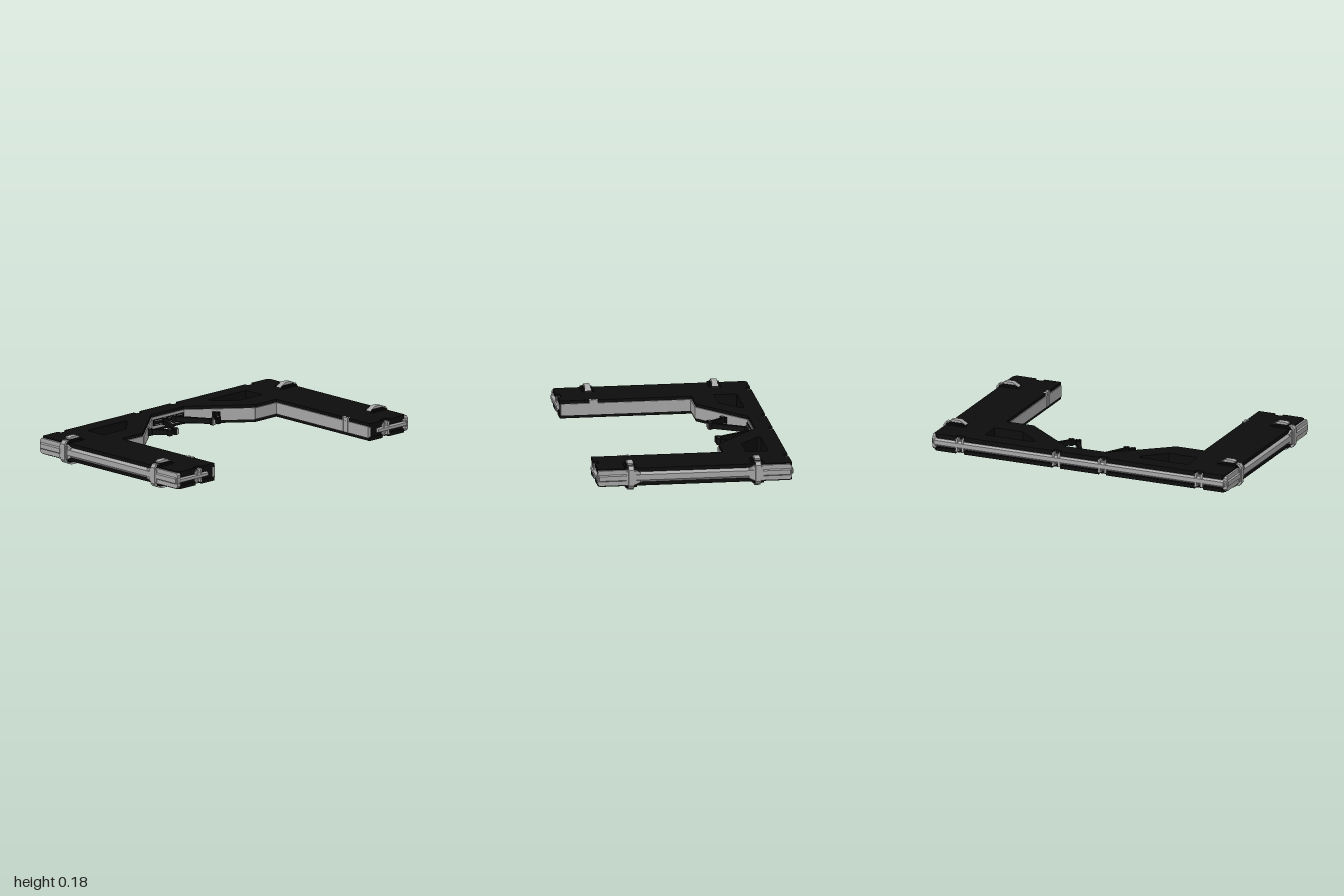
import * as THREE from 'three';

const MID = 0.09; // height of the symmetry plane

export function createModel() {
  const root = new THREE.Group();
  root.name = 'frame';
  const mat = (name, color) => {
    const m = new THREE.MeshStandardMaterial({ color });
    m.name = name;
    return m;
  };
  const black = mat('black shell', 0x0c0c0c);
  const grey = mat('grey trim', 0xa6a6a6);

  const add = (name, geo, m) => {
    const g = geo.index ? geo.toNonIndexed() : geo;
    g.computeVertexNormals();
    const mesh = new THREE.Mesh(g, m);
    mesh.name = name;
    root.add(mesh);
  };
  // Mirror across x = 0, keeping outward winding
  const mirrorX = (geo) => {
    const g = geo.index ? geo.toNonIndexed() : geo.clone();
    const p = g.attributes.position;
    for (let i = 0; i < p.count; i += 3) {
      const t = [0, 2, 1].map((k) => [p.getX(i + k), p.getY(i + k), p.getZ(i + k)]);
      t.forEach((v, k) => p.setXYZ(i + k, -v[0], v[1], v[2]));
    }
    return g;
  };
  const pair = (name, geo, m) => {
    add('left' + name, geo.clone(), m);
    add('right' + name, mirrorX(geo), m);
  };
  const shapeOf = (pts) => new THREE.Shape(pts.map(([x, y]) => new THREE.Vector2(x, y)));
  const extrude = (pts, depth) =>
    new THREE.ExtrudeGeometry(shapeOf(pts), { depth, bevelEnabled: false, curveSegments: 8 });
  // Box from its min and max corners
  const box = (x0, x1, y0, y1, z0, z1) =>
    new THREE.BoxGeometry(x1 - x0, y1 - y0, z1 - z0).translate((x0 + x1) / 2, (y0 + y1) / 2, (z0 + z1) / 2);
  // Straight rail from a to b (x, z) with a section of (outward, up) points
  const rail = (a, b, section) => {
    const d = new THREE.Vector3(b[0] - a[0], 0, b[1] - a[1]);
    const len = d.length();
    d.normalize();
    const up = new THREE.Vector3(0, 1, 0);
    const n = new THREE.Vector3().crossVectors(up, d);
    const m = new THREE.Matrix4().makeBasis(n, up, d).setPosition(a[0], MID, a[1]);
    return extrude(section, len).applyMatrix4(m);
  };
  const bevelled = (inner, outer, h, flat) => [
    [inner, -h], [0, -h], [outer, -flat], [outer, flat], [0, h], [inner, h]];

  // U-shaped outline; shape y is -z
  const outline = (e, notch) => {
    const half = [
      [0.14, -0.495], [0.48, -0.22], [0.665 + e, -0.22], [0.665 + e, 0.595 - e],
      [0.775, 0.595 - e], [0.775, 0.595 - notch], [0.83, 0.595 - notch], [0.83, 0.595 - e],
      [0.96 - e, 0.595 - e], [0.975 - e, 0.58 - e], [0.975 - e, -0.59 + e], [0.96 - e, -0.605 + e],
      [0.83, -0.605 + e], [0.83, -0.605 + notch], [0.775, -0.605 + notch], [0.775, -0.605 + e],
      [0.18, -0.605 + e], [0.18, -0.605 + notch], [0.13, -0.605 + notch], [0.13, -0.605 + e]];
    const all = [...half, ...half.map(([x, z]) => [-x, z]).reverse()];
    const s = shapeOf(all.map(([x, z]) => [x, -z]));
    for (const k of [1, -1]) {
      const hole = [[0.355, -0.5], [0.68, -0.5], [0.68, -0.36], [0.49, -0.36], [0.355, -0.478]];
      s.holes.push(new THREE.Path(hole.map(([x, z]) => new THREE.Vector2(k * x, -z))));
    }
    return s;
  };
  const slab = (e, notch, y0, y1) =>
    new THREE.ExtrudeGeometry(outline(e, notch), { depth: y1 - y0, bevelEnabled: false })
      .rotateX(-Math.PI / 2).translate(0, y0, 0);

  // Shell: two cover plates and a slightly inset core
  add('topPlate', slab(0, 0.025, 0.122, 0.145), black);
  add('bottomPlate', slab(0, 0.025, 0.035, 0.058), black);
  add('core', slab(0.006, 0.025, 0.058, 0.122), black);

  // Inner edge trim
  const innerPath = [[0.665, 0.59], [0.665, -0.22], [0.48, -0.22], [0.14, -0.495]];
  for (let i = 0; i < 3; i++) {
    pair('InnerTrim', rail(innerPath[i + 1], innerPath[i],
      [[-0.012, -0.036], [0.007, -0.036], [0.007, 0.036], [-0.012, 0.036]].map(([x, y]) => [-x, y]).reverse()), grey);
  }
  add('innerBackTrim', box(-0.14, 0.14, 0.054, 0.126, -0.51, -0.49), grey);

  // Outer side rails and back rail
  pair('SideRail', rail([0.972, -0.38], [0.972, 0.38], bevelled(-0.02, 0.018, 0.035, 0.017)), grey);
  add('backRail', rail([-0.97, -0.602], [0.97, -0.602], bevelled(-0.03, 0.011, 0.024, 0.013)), grey);

  for (const s of [1, -1]) {
    // Corner guards with raised bumper strips
    const guard = [[0.335, -0.03], [0.37, -0.048], [0.59, -0.048], [0.6, -0.035],
      [0.6, 0.035], [0.59, 0.048], [0.37, 0.048], [0.335, 0.03]];
    const pts = guard.map(([z, y]) => [-s * z, y + MID]);
    pair('CornerGuard', extrude(s > 0 ? pts.reverse() : pts, 0.026).rotateY(Math.PI / 2)
      .translate(0.962, 0, 0), grey);
    const z0 = s > 0 ? 0.42 : -0.592, z1 = s > 0 ? 0.592 : -0.42;
    pair('SideBumper', rail([0.986, z0], [0.986, z1], bevelled(-0.01, 0.011, 0.022, 0.014)), grey);
    const ends = [[0.73, s * 0.598], [0.975, s * 0.598]];
    pair('EndBumper', s > 0 ? rail(ends[1], ends[0], bevelled(-0.02, 0.01, 0.014, 0.009))
      : rail(ends[0], ends[1], bevelled(-0.02, 0.01, 0.014, 0.009)), grey);
    const corner = s > 0 ? [[0.992, 0.585], [0.972, 0.605]] : [[0.972, -0.605], [0.992, -0.585]];
    pair('CornerBumper', rail(corner[0], corner[1], bevelled(-0.03, 0.004, 0.018, 0.01)), grey);

    // Latches: black housing, grey lever on both faces, outer strap
    const zc = s * 0.393;
    const housing = [[0.84, -0.055], [0.87, -0.073], [0.955, -0.073], [0.985, -0.05],
      [0.985, 0.05], [0.955, 0.073], [0.87, 0.073], [0.84, 0.055]].map(([x, y]) => [x, y + MID]);
    pair('LatchHousing', extrude(housing, 0.05).translate(0, 0, zc - 0.025), black);
    const lever = [[0.85, 0.055], [0.955, 0.055], [0.955, 0.082], [0.94, 0.088], [0.89, 0.088], [0.855, 0.066]];
    const levers = extrude(lever, 0.036).translate(0, MID, zc - 0.018);
    pair('TopLever', levers, grey);
    pair('BottomLever', levers.clone().translate(0, -MID, -zc).rotateX(Math.PI).translate(0, MID, zc), grey);
    pair('LatchStrap', rail([0.985, zc - 0.017], [0.985, zc + 0.017], bevelled(-0.02, 0.015, 0.07, 0.05)), grey);
    for (const y of [-0.058, 0.058]) {
      pair('LatchPad', box(0.86, 0.975, MID + y - 0.006, MID + y + 0.006, zc - 0.036, zc + 0.036), black);
    }
    for (const dz of [-0.025, 0.025]) {
      pair('StrapHinge', box(0.975, 0.995, 0.05, 0.13, zc + dz - 0.005, zc + dz + 0.005), grey);
    }
  }

  // Edge clips: two jaws joined by a bridge
  const clip = (x, zEdge, dir) => {
    const zr = (a, b) => [zEdge + dir * a, zEdge + dir * b].sort((p, q) => p - q);
    for (const dx of [-0.019, 0.019]) {
      pair('ClipJaw', box(x + dx - 0.007, x + dx + 0.007, 0.048, 0.132, ...zr(-0.026, 0.006)), grey);
    }
    pair('ClipBridge', box(x - 0.02, x + 0.02, 0.06, 0.12, ...zr(-0.026, -0.008)), grey);
  };
  clip(0.8025, 0.595, 1);
  clip(0.8025, -0.605, -1);
  clip(0.155, -0.605, -1);

  // Small catches on the inner leg edges
  for (const dz of [-0.02, 0.02]) {
    pair('InnerCatch', box(0.655, 0.68, 0.06, 0.147, 0.388 + dz - 0.006, 0.388 + dz + 0.006), grey);
  }
  pair('InnerCatchBar', box(0.66, 0.672, 0.07, 0.147, 0.37, 0.406), grey);

  // Central mounting block
  add('mountBlock', box(-0.13, 0.13, 0.072, 0.11, -0.5, -0.482), black);
  for (const y of [0.077, 0.103]) {
    add('mountLine', box(-0.12, 0.12, y, y + 0.003, -0.483, -0.48), grey);
  }

  // Folding arms: long and short links meeting at a forked elbow
  const bar = (w, h) => [[-w, -h], [w, -h], [w, h], [-w, h]];
  pair('LongArm', rail([0.04, -0.478], [0.162, -0.268], bar(0.012, 0.016)), black);
  pair('ShortArm', rail([0.288, -0.365], [0.208, -0.268], bar(0.011, 0.016)), black);
  const disc = (x, z, r, h) => new THREE.CylinderGeometry(r, r, h, 12).translate(x, MID, z);
  for (const [x, z] of [[0.04, -0.475], [0.162, -0.263], [0.208, -0.263], [0.286, -0.355]]) {
    pair('ArmJoint', disc(x, z, 0.018, 0.04), black);
    pair('ArmPin', disc(x, z, 0.006, 0.05), grey);
  }
  pair('ElbowLink', box(0.162, 0.208, 0.076, 0.104, -0.268, -0.25), black);
  pair('ElbowRoller', box(0.148, 0.164, 0.074, 0.106, -0.25, -0.243), grey);
  pair('ArmBracket', rail([0.31, -0.35], [0.27, -0.382], bar(0.01, 0.02)), black);
  return root;
}
